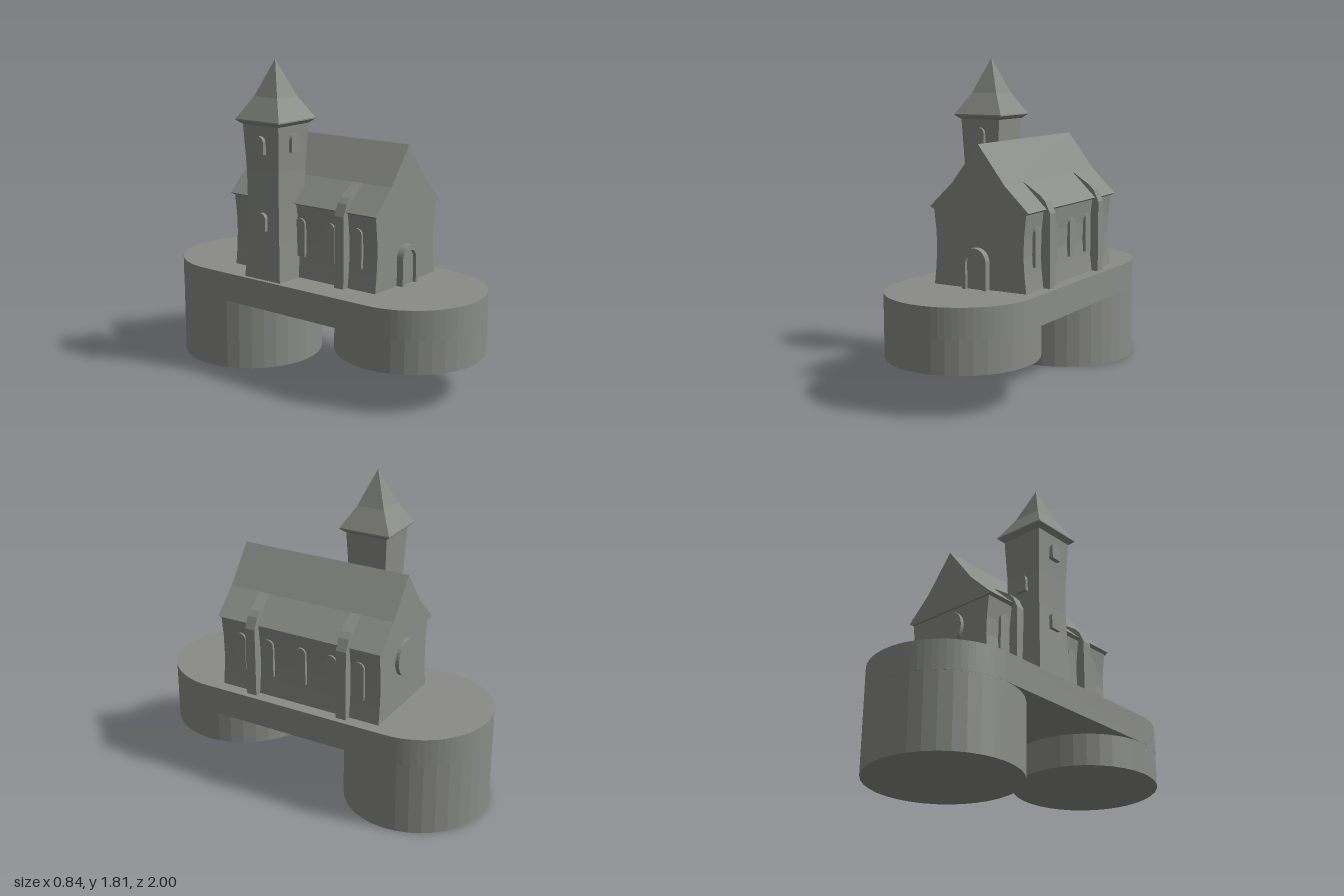
import * as THREE from 'three';

const stone = new THREE.MeshStandardMaterial({ color: 0x8a8c87, flatShading: true });
stone.name = 'grey stone';

const GROUND = 0.585; // top of the plinth
const NAVE_X = 0.058; // centre line of the nave

function part(parent, name, geometry, x = 0, y = 0, z = 0, turn = 0) {
  const mesh = new THREE.Mesh(geometry, stone);
  mesh.name = name;
  mesh.position.set(x, y, z);
  mesh.rotation.y = turn;
  parent.add(mesh);
  return mesh;
}

function extrude(shape, depth, curveSegments = 12) {
  return new THREE.ExtrudeGeometry(shape, { depth, bevelEnabled: false, curveSegments });
}

// Polygon mirrored about x = 0, from the points of its right half
function mirroredShape(half) {
  const left = half.filter(([x]) => x > 0).map(([x, y]) => [-x, y]).reverse();
  return new THREE.Shape([...half, ...left].map(([x, y]) => new THREE.Vector2(x, y)));
}

// Round-headed opening standing on y = 0
function arch(width, height, Type = THREE.Shape) {
  const r = width / 2;
  const s = new Type();
  s.moveTo(-r, 0);
  s.lineTo(r, 0);
  s.lineTo(r, height - r);
  s.absarc(0, height - r, r, 0, Math.PI, false);
  s.lineTo(-r, 0);
  return s;
}

// Four-sided form from [half width, height] sections
function squareLoft(sections) {
  const points = sections.map(([half, y]) => new THREE.Vector2(half * Math.SQRT2, y));
  return new THREE.LatheGeometry(points, 4, Math.PI / 4);
}

function buildPlinth() {
  const plinth = new THREE.Group();
  plinth.name = 'plinth';
  const r = 0.42, c = 0.58, under = 0.42;
  const outline = new THREE.Shape();
  outline.absarc(0, c, r, 0, Math.PI, false);
  outline.absarc(0, -c, r, Math.PI, Math.PI * 2, false);
  outline.closePath();
  part(plinth, 'slab', extrude(outline, GROUND - under, 18).rotateX(-Math.PI / 2), 0, under, 0);
  for (const [name, z, bottom] of [['frontDrum', c, 0.235], ['backDrum', -c, 0]]) {
    const h = under - bottom;
    part(plinth, name, new THREE.CylinderGeometry(r, r, h, 36), 0, bottom + h / 2, z);
  }
  return plinth;
}

function buildNave() {
  const nave = new THREE.Group();
  nave.name = 'nave';
  nave.position.x = NAVE_X;

  // Walls lean in slightly at mid height
  const walls = mirroredShape([[0.288, GROUND], [0.277, 0.68], [0.271, 0.78], [0.274, 0.88], [0.288, 1.005], [0, 1.3]]);
  part(nave, 'walls', extrude(walls, 1.01), 0, 0, -0.505);

  // Kicked gable roof
  const roof = mirroredShape([[0.285, 1.0], [0.307, 1.013], [0.163, 1.15], [0, 1.362]]);
  part(nave, 'roof', extrude(roof, 1.035), 0, 0, -0.52);

  // Buttresses and windows on both sides
  const buttress = new THREE.Shape([
    [0.2, GROUND], [0.327, GROUND], [0.327, 0.99], [0.297, 1.055], [0.268, 1.085], [0.165, 1.152], [0.15, 1.1],
  ].map(([x, y]) => new THREE.Vector2(x, y)));
  const buttressGeometry = extrude(buttress, 0.062).translate(0, 0, -0.031);
  const windowGeometry = extrude(arch(0.064, 0.22), 0.04);
  for (const side of [1, -1]) {
    for (const z of [0.288, -0.292]) {
      part(nave, 'buttress', buttressGeometry, 0, 0, z, side > 0 ? 0 : Math.PI);
    }
    for (const z of [0.38, 0.195, -0.015, -0.207, -0.38]) {
      part(nave, 'sideWindow', windowGeometry, side * 0.25, 0.71, z, side * Math.PI / 2);
    }
  }

  // Door with a raised arched surround
  const surround = arch(0.15, 0.225);
  surround.holes.push(arch(0.105, 0.195, THREE.Path));
  part(nave, 'doorSurround', extrude(surround, 0.05), -0.012, GROUND, 0.495);
  part(nave, 'door', extrude(arch(0.11, 0.198), 0.03), -0.012, GROUND, 0.495);

  // Round window in the back gable
  part(nave, 'roundWindow', new THREE.CylinderGeometry(0.105, 0.105, 0.04, 32).rotateX(Math.PI / 2), 0, 0.88, -0.508);
  return nave;
}

function buildTower() {
  const tower = new THREE.Group();
  tower.name = 'tower';
  tower.position.set(-0.267, 0, -0.155);
  part(tower, 'towerWalls', squareLoft([[0.128, GROUND], [0.119, 0.8], [0.113, 1.0], [0.115, 1.2], [0.128, 1.46]]));
  part(tower, 'spire', squareLoft([[0, 1.455], [0.13, 1.455], [0.156, 1.477], [0.156, 1.484], [0.083, 1.605], [0, 1.808]]));

  // Small arched windows: [turn, sill height, outer face]
  const pane = extrude(arch(0.065, 0.1), 0.05).translate(0, 0, -0.05);
  for (const [turn, y, out] of [
    [0, 1.308, 0.144],
    [-Math.PI / 2, 1.298, 0.146],
    [-Math.PI / 2, 0.868, 0.136],
    [Math.PI, 1.095, 0.135],
  ]) {
    part(tower, 'towerWindow', pane, Math.sin(turn) * out, y, Math.cos(turn) * out, turn);
  }
  return tower;
}

export function createModel() {
  const model = new THREE.Group();
  model.name = 'chapel';
  model.add(buildPlinth(), buildNave(), buildTower());
  return model;
}
